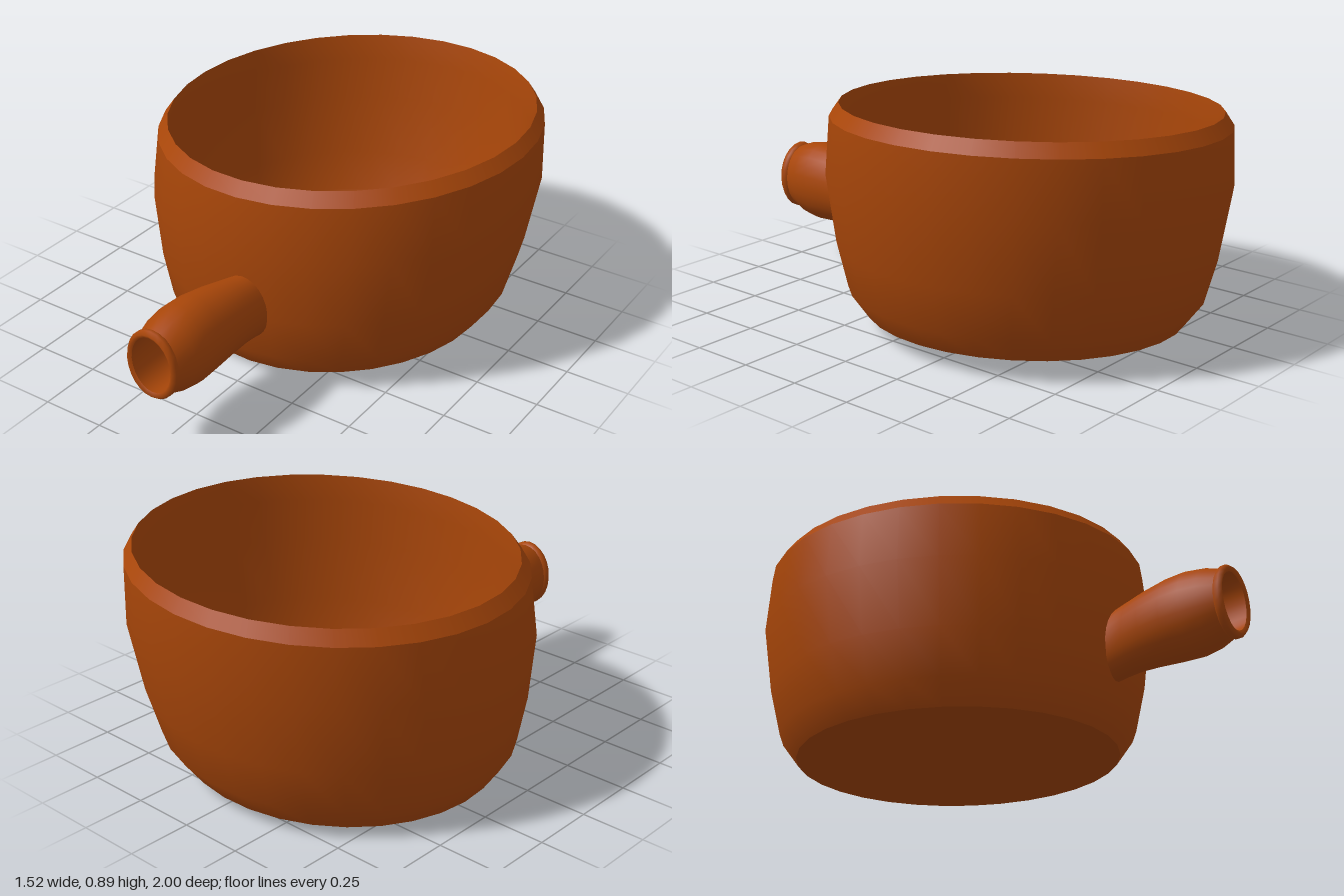
import * as THREE from 'three';
import { mergeVertices } from 'three/addons/utils/BufferGeometryUtils.js';

const clay = new THREE.MeshStandardMaterial({ color: 0xa84609, side: THREE.DoubleSide });

// Slight hand-made lean: rim and base rise to the left, the body drifts with height
const lean = new THREE.Matrix4().set(
  1, 0.03, 0, -0.018,
  0.057, 1, -0.017, -0.002,
  0, -0.045, 1, -0.217,
  0, 0, 0, 1
);

// One smooth turned band of the bowl; separate bands keep the edges crisp
function band(name, points) {
  const geo = new THREE.LatheGeometry(points.map(([r, y]) => new THREE.Vector2(r, y)), 32);
  geo.applyMatrix4(lean);
  const mesh = new THREE.Mesh(geo, clay);
  mesh.name = name;
  return mesh;
}

// Skin through elliptical rings [z, centreX, centreY, radiusX, radiusY]
function ringSkin(name, rings, sides = 24) {
  const pos = [], index = [];
  rings.forEach(([z, cx, cy, rx, ry], j) => {
    for (let i = 0; i < sides; i++) {
      const a = (i / sides) * Math.PI * 2;
      pos.push(cx + rx * Math.cos(a), cy + ry * Math.sin(a), z);
      if (j === rings.length - 1) continue;
      const p = j * sides + i, q = j * sides + (i + 1) % sides;
      index.push(p, q, p + sides, q, q + sides, p + sides);
    }
  });
  let geo = new THREE.BufferGeometry();
  geo.setAttribute('position', new THREE.Float32BufferAttribute(pos, 3));
  geo.setIndex(index);
  geo = mergeVertices(geo);
  geo.computeVertexNormals();
  const mesh = new THREE.Mesh(geo, clay);
  mesh.name = name;
  return mesh;
}

export function createModel() {
  const model = new THREE.Group();
  model.name = 'saucepan';

  // Bowl: flat base, bulging wall, bevelled rim, inside wall and floor
  const bowl = new THREE.Group();
  bowl.name = 'bowl';
  bowl.add(
    band('base', [[0, 0.037], [0.615, 0.037]]),
    band('outerWall', [[0.615, 0.037], [0.68, 0.13], [0.722, 0.31], [0.758, 0.575], [0.742, 0.8]]),
    band('rim', [[0.742, 0.8], [0.707, 0.851]]),
    band('innerWall', [[0.707, 0.851], [0.692, 0.75], [0.687, 0.58], [0.654, 0.33], [0.625, 0.16], [0.6, 0.108], [0.56, 0.105], [0, 0.105]])
  );
  model.add(bowl);

  // Hollow handle: swollen grip, small lip, open end and a bore down to the bowl
  const handle = new THREE.Group();
  handle.name = 'handle';
  handle.add(
    ringSkin('grip', [
      [0.452, 0.038, 0.338, 0.093, 0.137],
      [0.5, 0.036, 0.342, 0.093, 0.134],
      [0.57, 0.03, 0.351, 0.103, 0.138],
      [0.65, 0.02, 0.354, 0.116, 0.147],
      [0.75, 0.013, 0.356, 0.126, 0.159],
      [0.83, 0.012, 0.356, 0.128, 0.163],
      [0.9, 0.01, 0.356, 0.12, 0.152],
      [0.962, 0.006, 0.355, 0.1, 0.13]
    ]),
    ringSkin('lip', [
      [0.962, 0.006, 0.355, 0.1, 0.13],
      [0.97, 0.006, 0.356, 0.108, 0.137],
      [0.985, 0.006, 0.357, 0.108, 0.138],
      [0.999, 0.006, 0.357, 0.098, 0.126],
      [0.99, 0.006, 0.357, 0.085, 0.111]
    ]),
    ringSkin('bore', [
      [0.99, 0.006, 0.357, 0.085, 0.111],
      [0.9, 0.01, 0.358, 0.092, 0.12],
      [0.8, 0.012, 0.358, 0.096, 0.124],
      [0.65, 0.02, 0.355, 0.09, 0.118],
      [0.54, 0.032, 0.348, 0.08, 0.108],
      [0.452, 0.036, 0.34, 0.08, 0.112]
    ])
  );
  model.add(handle);

  return model;
}
